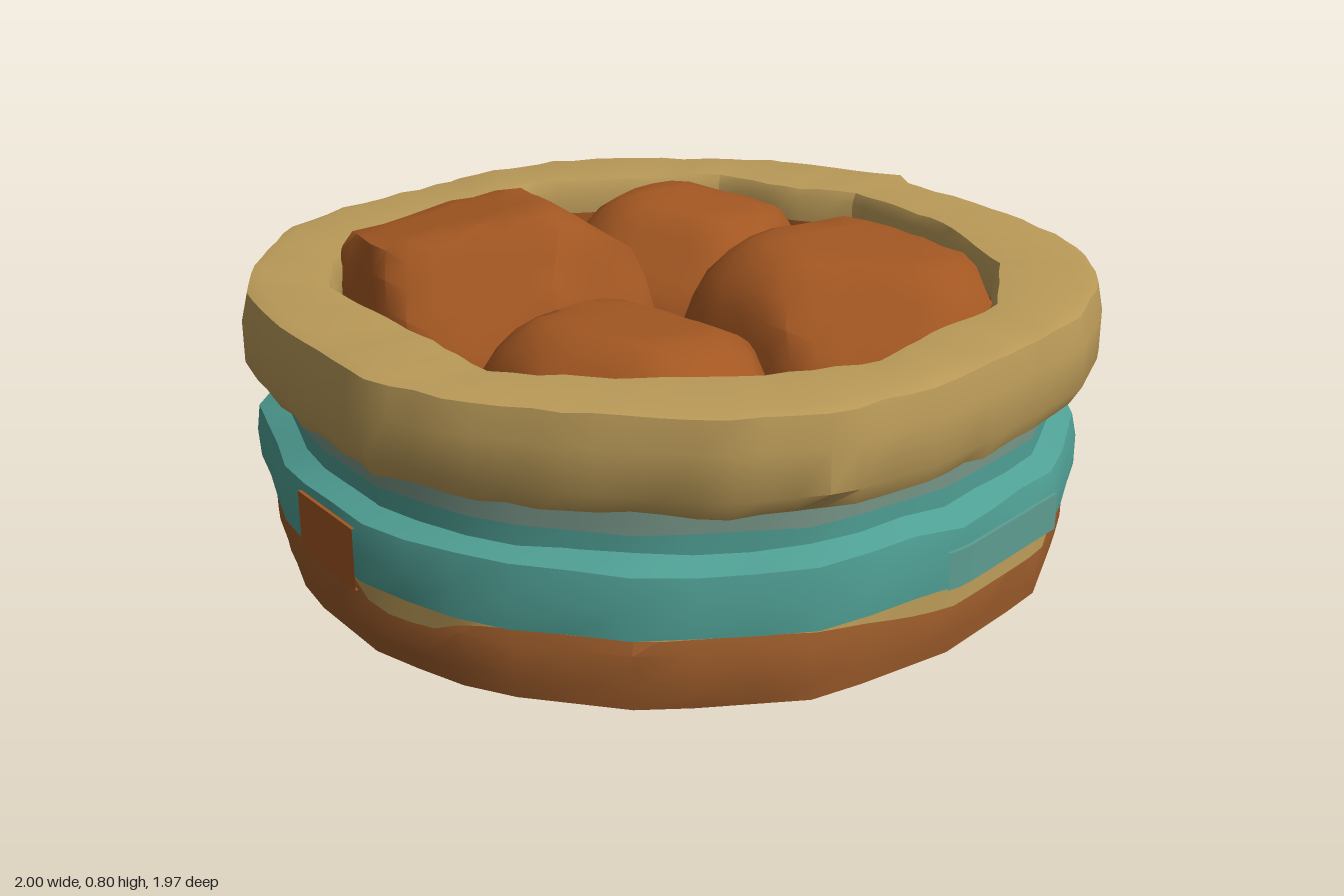
import * as THREE from 'three';
import { mergeVertices, toCreasedNormals } from 'three/addons/utils/BufferGeometryUtils.js';

const mat = (name, color) => {
  const m = new THREE.MeshStandardMaterial({ color, side: THREE.DoubleSide });
  m.name = name;
  return m;
};

let seed = 7;
const rnd = () => {
  seed = (seed * 16807) % 2147483647;
  return seed / 2147483647;
};
const jit = (s) => (rnd() - 0.5) * 2 * s;

// Turns a loop of x, z pairs into a radius for each angle
function outline(pts) {
  const n = pts.length / 2;
  return (a) => {
    const c = Math.cos(a), s = Math.sin(a);
    let best = 0;
    for (let i = 0; i < n; i++) {
      const j = (i + 1) % n;
      const x1 = pts[i * 2], z1 = pts[i * 2 + 1];
      const dx = pts[j * 2] - x1, dz = pts[j * 2 + 1] - z1;
      const den = c * dz - s * dx;
      if (Math.abs(den) < 1e-9) continue;
      const r = (x1 * dz - z1 * dx) / den;
      const t = (x1 * s - z1 * c) / den;
      if (r > 0 && t >= -1e-6 && t <= 1 + 1e-6) best = Math.max(best, r);
    }
    return best;
  };
}

// Wobbly closed band: rows of [radius(angle), y or y(angle), jitter], listed upward on the outside
function band(rows, seg = 48, from = 0, to = Math.PI * 2) {
  const full = to - from > 6.28;
  const cols = full ? seg : seg + 1;
  const pos = [], idx = [];
  rows.forEach(([r, y, k = 0]) => {
    for (let i = 0; i < cols; i++) {
      const a = from + ((to - from) * i) / seg;
      const rad = r(a) + jit(k);
      const h = (typeof y === 'function' ? y(a) : y) + jit(k);
      pos.push(Math.cos(a) * rad, h, Math.sin(a) * rad);
    }
  });
  for (let j = 0; j < rows.length - 1; j++) {
    for (let i = 0; i < seg; i++) {
      const p = j * cols + i, q = j * cols + ((i + 1) % cols);
      idx.push(p, p + cols, q, q, p + cols, q + cols);
    }
  }
  const g = new THREE.BufferGeometry();
  g.setAttribute('position', new THREE.Float32BufferAttribute(pos, 3));
  g.setIndex(idx);
  return toCreasedNormals(g, 0.6);
}

// Boulder: a boxy rounded block trimmed by planes, with a tilted flat top
function boulder(sx, sy, sz, tiltX, tiltZ, power) {
  const planes = [[new THREE.Vector3(tiltX, 1, tiltZ).normalize(), 0.9]];
  for (let i = 0; i < 12; i++) {
    const y = 0.85 - (1.7 * i) / 11, a = i * 2.4 + jit(0.3), h = Math.sqrt(1 - y * y);
    planes.push([new THREE.Vector3(Math.cos(a) * h, y, Math.sin(a) * h), 0.94 + rnd() * 0.08]);
  }
  let g = new THREE.IcosahedronGeometry(1, 6);
  g.deleteAttribute('normal');
  g.deleteAttribute('uv');
  g = mergeVertices(g, 1e-4);
  const p = g.attributes.position, v = new THREE.Vector3();
  for (let i = 0; i < p.count; i++) {
    v.fromBufferAttribute(p, i).normalize();
    let r = (Math.abs(v.x) ** power + Math.abs(v.y) ** power + Math.abs(v.z) ** power) ** (-1 / power);
    for (const [n, d] of planes) {
      const k = n.dot(v);
      if (k > 0.01) r = Math.min(r, d / k);
    }
    p.setXYZ(i, v.x * r * sx, v.y * r * sy, v.z * r * sz);
  }
  return toCreasedNormals(g, 0.7);
}

export function createModel() {
  const model = new THREE.Group();
  const sand = mat('sand', 0xba9a58);
  const rust = mat('rust', 0xa35722);
  const brown = mat('brown', 0x9a5a2a);
  const teal = mat('teal', 0x4f9f94);
  const paleTeal = mat('paleTeal', 0x5c9d91);
  const greyTeal = mat('greyTeal', 0x779587);
  const dark = mat('darkBrown', 0x594628);
  const add = (name, geometry, material) => {
    const m = new THREE.Mesh(geometry, material);
    m.name = name;
    model.add(m);
    return m;
  };

  const rimOuter = outline([0.13, -0.99, 0.35, -0.96, 0.6, -0.79, 0.82, -0.58, 0.9, -0.42, 1, -0.2,
    0.955, -0.16, 0.96, 0.1, 0.9, 0.45, 0.8, 0.63, 0.65, 0.78, 0.43, 0.9, 0.1, 0.96, -0.12, 0.98,
    -0.36, 0.96, -0.57, 0.85, -0.8, 0.6, -0.93, 0.4, -1, 0.2, -0.99, 0, -0.97, -0.25, -0.92, -0.46,
    -0.8, -0.64, -0.58, -0.86, -0.37, -0.93]);
  const rimInner = outline([0.13, -0.79, 0.6, -0.52, 0.65, -0.3, 0.75, -0.15, 0.72, 0.2, 0.58, 0.5,
    0.34, 0.7, 0.1, 0.73, -0.13, 0.78, -0.35, 0.68, -0.57, 0.52, -0.75, 0.33, -0.74, 0, -0.73, -0.35,
    -0.6, -0.55, -0.42, -0.7, -0.1, -0.74]);
  const tealOuter = outline([0.97, -0.1, 0.96, 0.2, 0.88, 0.45, 0.68, 0.71, 0.36, 0.9, 0, 0.955, -0.36, 0.92,
    -0.68, 0.72, -0.9, 0.44, -0.985, 0.15, -0.97, -0.2, -0.81, -0.64, -0.55, -0.84, -0.2, -0.94,
    0.1, -0.96, 0.42, -0.93, 0.77, -0.65, 0.9, -0.42]);
  const offset = (f, d) => (a) => f(a) + d;
  const scaled = (f, k) => (a) => f(a) * k;
  const zero = () => 0;

  // Foot of the bowl with its flat underside
  const foot = scaled(tealOuter, 0.975);
  add('base', band([[zero, 0], [scaled(foot, 0.993), 0], [foot, 0.04, 0.005], [foot, 0.13, 0.006],
    [scaled(foot, 0.97), 0.19]]), brown);
  // Uneven sand edge: lumps of [angle, width, depth] hang from the top of the foot
  const lumps = [[1.4, 0.42, 0.05], [2.9, 0.15, 0.05], [0.72, 0.2, 0.045], [-0.75, 0.14, 0.04], [-1.7, 0.25, 0.03],
    [-2.6, 0.2, 0.04]];
  const edge = (a) => lumps.reduce((y, [c, w, d]) => {
    const t = Math.atan2(Math.sin(a - c), Math.cos(a - c)) / w;
    return y - d * Math.exp(-(t ** 4));
  }, 0.168);
  add('sandEdge', band([[offset(foot, 0.007), edge], [offset(foot, 0.005), 0.184]], 96), sand);

  // Raised teal hoop
  add('tealHoop', band([[scaled(tealOuter, 0.9), 0.18], [tealOuter, 0.178, 0.003], [offset(tealOuter, 0.004), 0.25, 0.004],
    [scaled(tealOuter, 0.99), 0.315, 0.007], [scaled(tealOuter, 0.935), 0.345, 0.005]]), teal);
  // Neck under the rim
  const neck = scaled(tealOuter, 0.94);
  add('neckLower', band([[neck, 0.32], [neck, 0.385]]), teal);
  add('neckUpper', band([[neck, 0.385], [neck, 0.47]]), greyTeal);

  // Worn plates on the front and back of the hoop, and clasps on the sides
  const plate = (name, f, a0, a1, y0, y1, material) => add(name, band([[offset(f, 0.002), y0],
    [offset(f, 0.01), y0], [offset(f, 0.01), y1], [offset(f, 0.002), y1]], 12, a0, a1), material);
  plate('frontPlate', tealOuter, 1.19, 1.62, 0.18, 0.268, paleTeal);
  plate('backPlate', tealOuter, 4.17, 4.6, 0.18, 0.268, greyTeal);
  plate('leftClasp', tealOuter, -0.02, 0.23, 0.16, 0.305, rust);
  plate('rightClasp', tealOuter, 3.02, 3.27, 0.16, 0.305, rust);

  // Thick rim with a small rust chip at the back
  add('rim', band([[rimInner, 0.45], [scaled(rimOuter, 0.975), 0.455, 0.005], [rimOuter, 0.5],
    [rimOuter, 0.6], [scaled(rimOuter, 0.985), 0.668, 0.003], [scaled(rimOuter, 0.955), 0.676, 0.003],
    [offset(rimInner, 0.015), 0.668, 0.003], [rimInner, 0.64], [rimInner, 0.58]], 96), sand);
  plate('rimChip', scaled(rimOuter, 0.985), -1.19, -1.09, 0.46, 0.49, rust);
  // Inside wall and floor
  add('innerWall', band([[rimInner, 0.58], [rimInner, 0.4]], 96), rust);
  add('floor', band([[offset(rimInner, 0.01), 0.43], [zero, 0.43]]), dark);

  // Four boulders: centre, half sizes, tilt of the top, boxiness
  [['backRight', -0.3, 0.41, -0.35, 0.36, 0.4, 0.36, -0.1, -0.15, 3.2],
    ['backLeft', 0.34, 0.39, -0.35, 0.33, 0.33, 0.32, 0.05, 0.05, 2.4],
    ['frontRight', -0.4, 0.39, 0.33, 0.32, 0.33, 0.36, 0.08, -0.05, 2.5],
    ['frontLeft', 0.25, 0.4, 0.35, 0.38, 0.385, 0.38, 0.04, 0.03, 2.6],
  ].forEach(([name, x, y, z, ...shape]) => {
    add(name + 'Boulder', boulder(...shape), rust).position.set(x, y, z);
  });
  return model;
}
